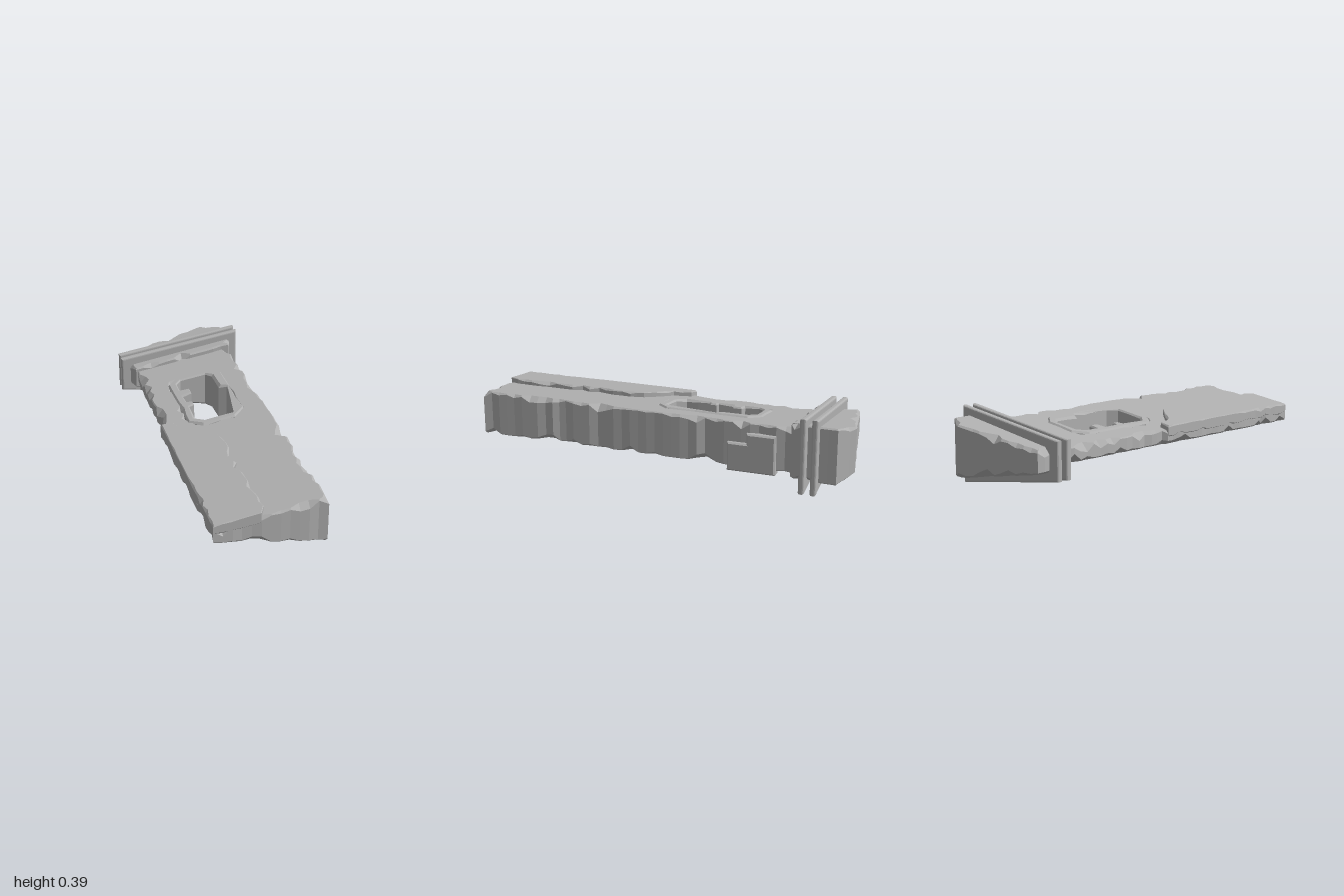
import * as THREE from 'three';

// small seeded generator for the worn edges
let seed = 7;
const rnd = () => {
  seed = (seed * 16807) % 2147483647;
  return seed / 2147483647;
};

// split long edges of a closed loop of [x, z] points and orient it seen from above
function densify(points, step, clockwise) {
  let loop = points.map(([x, z]) => new THREE.Vector2(x, -z));
  if (THREE.ShapeUtils.isClockWise(loop) !== clockwise) loop.reverse();
  const out = [];
  loop.forEach((p, i) => {
    const q = loop[(i + 1) % loop.length];
    const n = Math.max(1, Math.round(p.distanceTo(q) / step));
    for (let k = 0; k < n; k++) out.push(p.clone().lerp(q, k / n));
  });
  return out;
}

// stone slab between two sloping planes, with randomly chipped upper and lower edges
function stoneSlab({ outline, holes = [], top, bottom, chip = 0.03, base = 0.005, step = 0.045 }) {
  const pos = [];
  const tri = (a, b, c) => [a, b, c].forEach((p) => pos.push(p.x, p.y, p.z));
  const loops = [densify(outline, step, false), ...holes.map((h) => densify(h, step, true))];
  const caps = { low: [], high: [] };
  loops.forEach((loop) => {
    const n = loop.length;
    const low = [], high = [];
    const columns = loop.map((p, i) => {
      const t = loop[(i + 1) % n].clone().sub(loop[(i + n - 1) % n]).normalize();
      const inward = new THREE.Vector2(-t.y, t.x);
      const cLow = base + chip * rnd() ** 4;
      const cHigh = base + chip * rnd() ** 4;
      const worn = p.clone().addScaledVector(inward, chip * 0.25 * rnd() ** 5);
      const pl = worn.clone().addScaledVector(inward, cLow);
      const ph = worn.clone().addScaledVector(inward, cHigh);
      low.push(pl);
      high.push(ph);
      const at = (v, y) => new THREE.Vector3(v.x, y, -v.y);
      return [
        at(pl, bottom(pl.x)), at(worn, bottom(worn.x) + cLow),
        at(worn, top(worn.x) - cHigh), at(ph, top(ph.x)),
      ];
    });
    columns.forEach((a, i) => {
      const b = columns[(i + 1) % n];
      for (let k = 0; k < 3; k++) {
        tri(a[k], b[k], b[k + 1]);
        tri(a[k], b[k + 1], a[k + 1]);
      }
    });
    caps.low.push(low);
    caps.high.push(high);
  });
  // flat faces above and below
  for (const [name, height] of [['low', bottom], ['high', top]]) {
    const [contour, ...inner] = caps[name];
    const verts = caps[name].flat().map((v) => new THREE.Vector3(v.x, height(v.x), -v.y));
    THREE.ShapeUtils.triangulateShape(contour, inner).forEach(([a, b, c]) => {
      if (name === 'high') tri(verts[a], verts[b], verts[c]);
      else tri(verts[a], verts[c], verts[b]);
    });
  }
  const geo = new THREE.BufferGeometry();
  geo.setAttribute('position', new THREE.Float32BufferAttribute(pos, 3));
  geo.computeVertexNormals();
  return geo;
}

export function createModel() {
  seed = 7;
  const group = new THREE.Group();
  const stone = new THREE.MeshStandardMaterial({ color: 0xb0b0b0 });
  stone.name = 'grey stone';
  const add = (name, geo) => {
    const mesh = new THREE.Mesh(geo, stone);
    mesh.name = name;
    group.add(mesh);
    return mesh;
  };

  // wedge-shaped section: thin at -x, thick at +x
  const slabTop = (x) => 0.274 + 0.15 * x;
  const slabBottom = (x) => 0.118 - 0.155 * x;
  const octagon = (x0, x1, z0, z1, c) => [
    [x0 + c, z0], [x1 - c, z0], [x1, z0 + c], [x1, z1 - c],
    [x1 - c, z1], [x0 + c, z1], [x0, z1 - c], [x0, z0 + c],
  ];

  // long shaft with an opening
  add('shaft', stoneSlab({
    outline: [
      [-0.265, -0.75], [0.27, -0.75], [0.27, -0.3], [0.255, -0.24], [0.27, -0.2],
      [0.27, 0.48], [0.25, 0.53], [0.265, 0.6], [0.27, 0.999], [-0.29, 0.999],
      [-0.29, 0.82], [-0.275, 0.79], [-0.29, 0.76], [-0.29, -0.01], [-0.265, -0.03],
      [-0.26, -0.1], [-0.245, -0.14], [-0.265, -0.2],
    ],
    holes: [octagon(-0.13, 0.14, -0.485, 0.055, 0.06)],
    top: slabTop, bottom: slabBottom, chip: 0.04,
  }));

  // thicker surface layer left along the thin side, with a broken edge
  add('raisedLayer', stoneSlab({
    outline: [
      [-0.292, -0.01], [-0.23, 0.0], [-0.2, 0.09], [-0.13, 0.14], [-0.06, 0.21],
      [-0.035, 0.28], [-0.033, 0.38], [-0.06, 0.47], [-0.035, 0.52], [-0.065, 0.57],
      [-0.035, 0.62], [-0.04, 0.76], [-0.03, 0.82], [-0.035, 0.95], [-0.06, 1], [-0.292, 1],
    ],
    top: (x) => slabTop(x) + 0.027, bottom: (x) => slabTop(x) - 0.03, chip: 0.018, base: 0.003,
  }));

  // raised frame around the opening, with broken inner teeth
  add('openingFrame', stoneSlab({
    outline: octagon(-0.147, 0.157, -0.5, 0.07, 0.065),
    holes: [[
      [-0.07, -0.455], [0.07, -0.455], [0.1, -0.42], [0.1, -0.28], [0.14, -0.26],
      [0.14, -0.02], [0.1, 0.025], [-0.06, 0.025], [-0.1, -0.02], [-0.1, -0.15],
      [-0.07, -0.16], [-0.07, -0.195], [-0.1, -0.2], [-0.1, -0.28], [-0.05, -0.29],
      [-0.05, -0.34], [-0.1, -0.345], [-0.1, -0.42],
    ]],
    top: (x) => slabTop(x) + 0.008, bottom: (x) => slabBottom(x) - 0.008,
    chip: 0.01, base: 0.008, step: 0.08,
  }));

  // head block behind the shaft, slanted at the back
  add('headBlock', stoneSlab({
    outline: [
      [-0.27, -0.69], [-0.28, -0.71], [-0.29, -0.74], [-0.29, -0.92], [0.19, -1],
      [0.295, -0.93], [0.295, -0.74], [0.285, -0.71], [0.275, -0.69],
    ],
    top: (x) => 0.3 + 0.16 * x, bottom: (x) => 0.096 - 0.155 * x, chip: 0.035, base: 0.008,
  }));

  // two rounded bands around the head
  const bevel = 0.01;
  const band = new THREE.Shape([
    [-0.34, 0.1], [0.34, 0], [0.34, 0.393], [-0.34, 0.295],
  ].map(([x, y]) => new THREE.Vector2(x, y)));
  for (const z of [-0.765, -0.825]) {
    const geo = new THREE.ExtrudeGeometry(band, {
      depth: 0.012, bevelEnabled: true, bevelSize: bevel, bevelOffset: -bevel,
      bevelThickness: bevel, bevelSegments: 3,
    });
    add('headBand', geo).position.z = z - 0.006;
  }

  // stepped block standing out of the thick side
  const patch = new THREE.Shape([
    [0.375, 0.065], [0.61, 0.065], [0.61, 0.255], [0.475, 0.255], [0.475, 0.2], [0.375, 0.2],
  ].map(([x, y]) => new THREE.Vector2(x, y)));
  const patchGeo = new THREE.ExtrudeGeometry(patch, {
    depth: 0.05, bevelEnabled: true, bevelSize: 0.008, bevelThickness: 0.008, bevelSegments: 1,
  });
  patchGeo.rotateY(Math.PI / 2);
  add('sideBlock', patchGeo).position.x = 0.234;

  return group;
}
